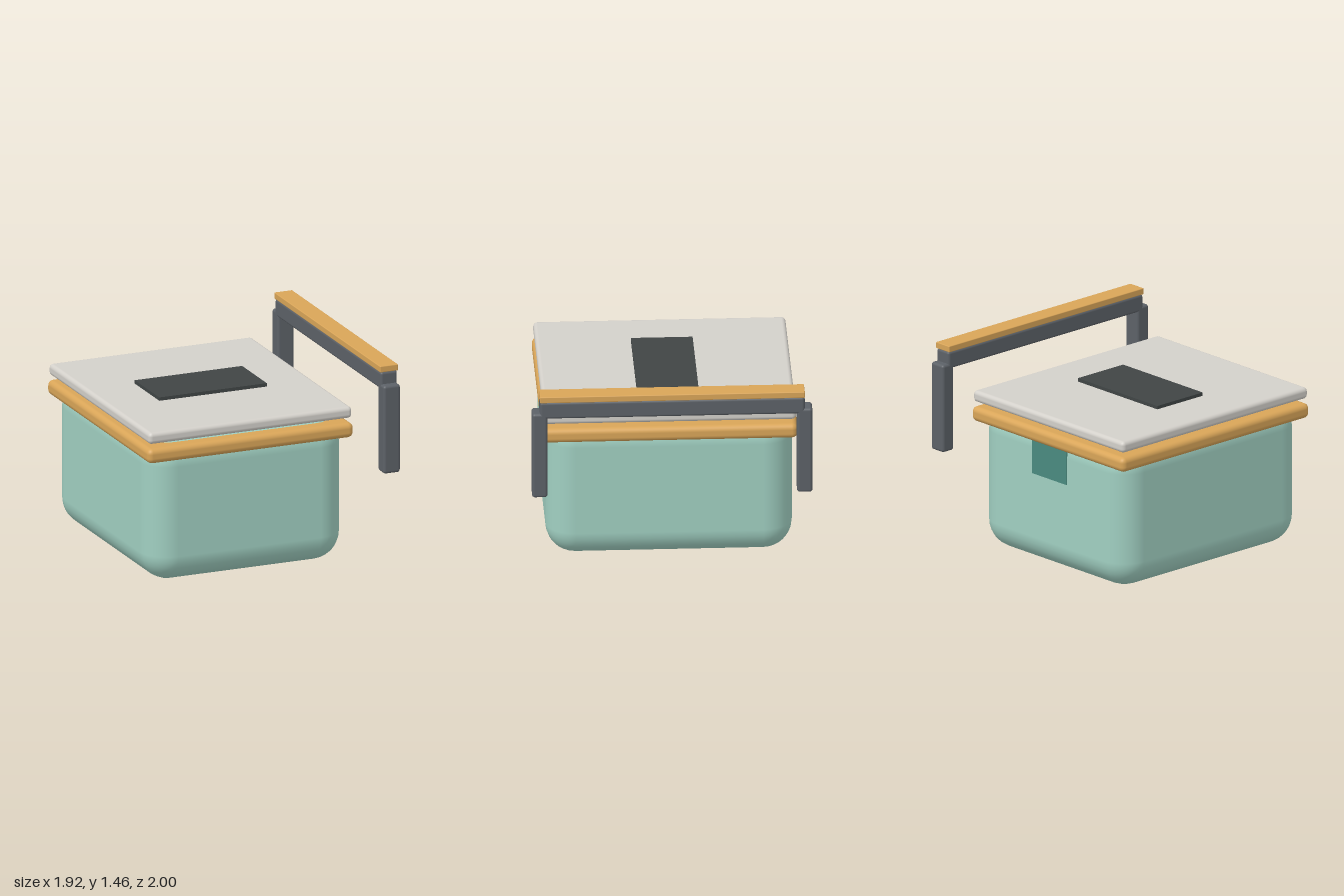
import * as THREE from 'three';
import { RoundedBoxGeometry } from 'three/addons/geometries/RoundedBoxGeometry.js';

const flat = (name, color) => {
  const m = new THREE.MeshStandardMaterial({ color });
  m.name = name;
  return m;
};

export function createModel() {
  const group = new THREE.Group();
  const mint = flat('mint', 0xa0cfc1);
  const teal = flat('teal', 0x4a8a7f);
  const wood = flat('wood', 0xd9a558);
  const lightGrey = flat('lightGrey', 0xd3d0ca);
  const charcoal = flat('charcoal', 0x404545);
  const steel = flat('steel', 0x5c6167);

  // Box from its x, y and z ranges, rounded when a radius is given
  const box = (name, material, [x0, x1], [y0, y1], [z0, z1], radius = 0, segments = 3) => {
    const size = [x1 - x0, y1 - y0, z1 - z0];
    const geometry = radius
      ? new RoundedBoxGeometry(...size, segments, radius)
      : new THREE.BoxGeometry(...size);
    const mesh = new THREE.Mesh(geometry, material);
    mesh.name = name;
    mesh.position.set((x0 + x1) / 2, (y0 + y1) / 2, (z0 + z1) / 2);
    group.add(mesh);
  };

  // Container with its rim and lid
  box('body', mint, [-0.93, 0.6], [0, 1.092], [-0.88, 0.88], 0.21, 4);
  box('rim', wood, [-0.965, 0.635], [0.935, 1.045], [-0.91, 0.91], 0.04);
  box('lid', lightGrey, [-0.955, 0.625], [1.08, 1.165], [-0.9, 0.9], 0.03);
  box('lidPanel', charcoal, [-0.58, 0.255], [1.16, 1.19], [-0.22, 0.22]);
  box('backPatch', teal, [-0.345, 0.015], [0.69, 0.94], [-0.885, -0.877]);

  // Handle standing beside the container
  for (const [name, z] of [['frontHandleLeg', 0.945], ['backHandleLeg', -0.945]]) {
    box(name, steel, [0.825, 0.955], [0.663, 1.32], [z - 0.055, z + 0.055], 0.02);
  }
  box('handleBar', steel, [0.825, 0.955], [1.28, 1.41], [-0.945, 0.945], 0.02);
  box('handleGrip', wood, [0.82, 0.96], [1.408, 1.455], [-0.945, 0.945], 0.006, 2);

  return group;
}
